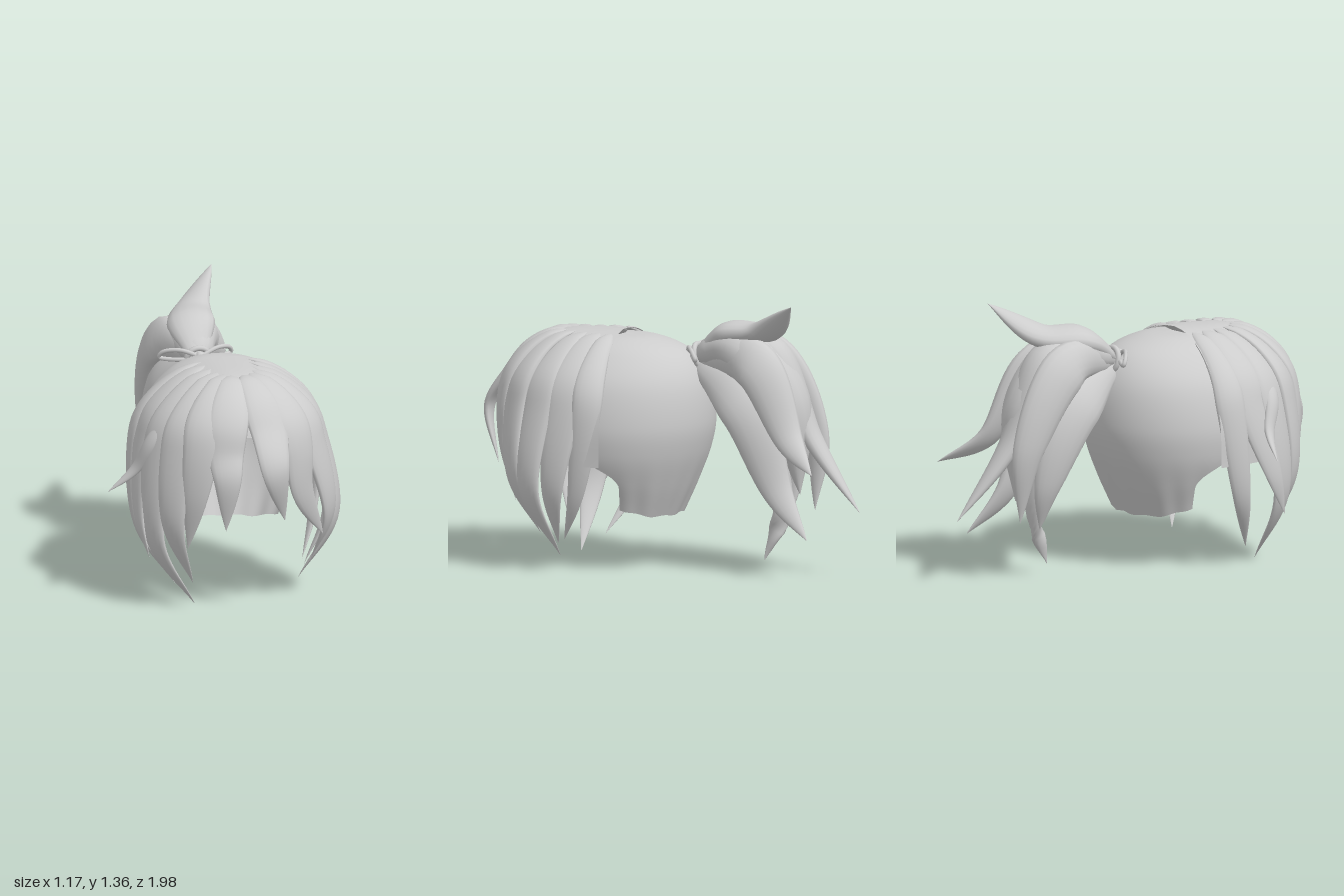
import * as THREE from 'three';

const hair = new THREE.MeshStandardMaterial({ color: 0xcccccc, side: THREE.DoubleSide });
hair.name = 'plain grey';
const { smoothstep, degToRad } = THREE.MathUtils;

// Splits a flat list of coordinates into points
function toPoints(list) {
  const points = [];
  for (let i = 0; i < list.length; i += 3) points.push(new THREE.Vector3().fromArray(list, i));
  return points;
}

// Surface from a grid of points; wrap joins the last column to the first
function gridGeometry(rows, cols, wrap, point) {
  const pos = [], idx = [];
  for (let i = 0; i <= rows; i++) {
    for (let j = 0; j < cols; j++) pos.push(...point(i / rows, j / (wrap ? cols : cols - 1)).toArray());
  }
  for (let i = 0; i < rows; i++) {
    for (let j = 0; j < (wrap ? cols : cols - 1); j++) {
      const a = i * cols + j, b = i * cols + (j + 1) % cols;
      idx.push(a, a + cols, b, b, a + cols, b + cols);
    }
  }
  const g = new THREE.BufferGeometry();
  g.setAttribute('position', new THREE.Float32BufferAttribute(pos, 3));
  g.setIndex(idx);
  g.computeVertexNormals();
  return g;
}

// Tapered lock: flattened section swept along a path, pointed at its end.
// outward(p) gives the direction its flat side faces; start is the root's share of the width
function lockGeometry(points, width, thick, start, outward) {
  const curve = new THREE.CatmullRomCurve3(points);
  const steps = 36, rings = [];
  for (let i = 0; i <= steps; i++) {
    const u = i / steps, p = curve.getPointAt(u), t = curve.getTangentAt(u);
    const n = outward(p);
    n.addScaledVector(t, -n.dot(t)).normalize();
    const s = (start + (1 - start) * smoothstep(u, 0, 0.38)) * (1 - u ** 2.6) * Math.sqrt(Math.min(1, u * 12));
    rings.push({ p, n, w: t.clone().cross(n), s });
  }
  return gridGeometry(steps, 16, true, (u, v) => {
    const r = rings[Math.round(u * steps)], a = v * Math.PI * 2;
    return r.p.clone()
      .addScaledVector(r.w, Math.cos(a) * width * r.s)
      .addScaledVector(r.n, Math.sin(a) * thick * r.s);
  });
}

// Fringe dome profile: half width, height, forward reach
const domeProfile = new THREE.CatmullRomCurve3(toPoints([
  0, 1.178, 0, 0.1, 1.168, 0.28, 0.18, 1.145, 0.38, 0.28, 1.09, 0.47,
  0.395, 0.98, 0.56, 0.445, 0.87, 0.595, 0.475, 0.74, 0.605, 0.48, 0.55, 0.585]));

function domePoint(azimuth, t) {
  const q = domeProfile.getPoint(t), s = Math.sin(azimuth), c = Math.max(0, Math.cos(azimuth));
  return new THREE.Vector3(0.06 + q.x * Math.sign(s) * Math.abs(s) ** 0.8, q.y,
    0.28 - 0.1 * q.x * s ** 4 + q.z * c ** 0.8);
}

// Back of the head, open towards the face: half width, height, backward reach
const capProfile = new THREE.CatmullRomCurve3(toPoints([
  0, 1.16, 0, 0.15, 1.145, 0.17, 0.28, 1.075, 0.335, 0.39, 0.94, 0.425,
  0.44, 0.74, 0.45, 0.43, 0.6, 0.425, 0.385, 0.44, 0.365, 0.32, 0.275, 0.29]));

function capPoint(u, v) {
  const q = capProfile.getPoint(u);
  const front = 0.3 - 0.55 * smoothstep(q.y, 0.4, 0.64);
  const a = front + v * (Math.PI - 2 * front);
  const low = smoothstep(u, 0.7, 1);
  const fold = 1 + 0.008 * low * Math.sin(a * 19);
  return new THREE.Vector3(0.07 - Math.cos(a) * q.x * fold,
    q.y + low * (0.004 * Math.sin(a * 13) + 0.06 * Math.cos(a) ** 6), 0.27 - Math.sin(a) * q.z * fold);
}

// Fringe locks: azimuth in degrees, then a middle point and the tip
const fringe = [
  [-86, -0.4, 0.38, 0.37, -0.24, 0.09, 0.5],
  [-76, -0.44, 0.47, 0.54, -0.41, 0.27, 0.62],
  [-62, -0.38, 0.36, 0.62, -0.17, 0.01, 0.6],
  [-46, -0.32, 0.46, 0.73, -0.2, 0.14, 0.67],
  [-30, -0.23, 0.62, 0.81, -0.25, 0.34, 0.75],
  [-14, -0.09, 0.72, 0.91, -0.09, 0.455, 0.88],
  [7, 0.14, 0.77, 0.965, 0.21, 0.49, 0.89],
  [26, 0.32, 0.62, 0.82, 0.46, 0.35, 0.7],
  [45, 0.49, 0.47, 0.7, 0.43, 0.19, 0.58],
  [62, 0.545, 0.42, 0.6, 0.39, 0.075, 0.49],
  [76, 0.54, 0.42, 0.48, 0.42, 0.14, 0.49],
  [86, 0.5, 0.4, 0.37, 0.42, 0.16, 0.46],
];

// Ponytail locks: facing side, half width, then path from near the tie to the tip
const ponytail = {
  ponytailCore: [0, 0.18, 0.07, 1.11, -0.32, 0.08, 0.88, -0.58, 0.08, 0.4, -0.66],
  ponytailUnder: [0, 0.13, 0.04, 0.74, -0.39, 0.06, 0.36, -0.56, 0.08, 0.06, -0.47],
  ponytailBack: [0, 0.11, 0.05, 1.13, -0.48, 0.06, 0.68, -0.72, 0.11, 0.33, -0.99],
  ponytailLeftOuter: [1, 0.13, 0.2, 1.06, -0.46, 0.29, 0.69, -0.69, 0.46, 0.56, -0.87],
  ponytailLeftInner: [1, 0.14, 0.22, 0.84, -0.42, 0.24, 0.42, -0.61, 0.32, 0.21, -0.79],
  ponytailRightOuter: [-1, 0.13, -0.06, 1.08, -0.44, -0.07, 0.7, -0.68, -0.02, 0.31, -0.7],
  ponytailRightInner: [-1, 0.14, -0.07, 0.85, -0.41, -0.06, 0.5, -0.56, 0, 0.26, -0.57],
  ponytailUpSpike: [0, 0.13, 0.06, 1.18, -0.28, 0.12, 1.21, -0.48, 0.28, 1.37, -0.69],
};

export function createModel() {
  const model = new THREE.Group();
  model.name = 'ponytailHair';
  const add = (name, geometry) => {
    const m = new THREE.Mesh(geometry, hair);
    m.name = name;
    model.add(m);
  };

  add('scalpCap', gridGeometry(48, 65, false, capPoint));

  // Smooth dome under the fringe, cut higher in front
  add('fringeDome', gridGeometry(32, 65, false, (u, v) => {
    const az = (v - 0.5) * Math.PI;
    return domePoint(az, u * (0.65 + 0.35 * smoothstep(Math.abs(az), 0.3, 1)));
  }));

  // Fringe locks follow the dome, then hang free
  const fromHead = (p) => p.clone().sub(new THREE.Vector3(0.06, 0.68, 0.38));
  fringe.forEach(([deg, ...lower], i) => {
    const top = [0.17, 0.3, 0.45, 0.6, 0.75]
      .map((t) => domePoint(degToRad(deg), t))
      .filter((p) => p.y > lower[1] + 0.1);
    const width = Math.abs(deg) > 80 ? 0.085 : 0.112;
    add('fringeLock' + (i + 1), lockGeometry([...top, ...toPoints(lower)], width, 0.037, 0.5, fromHead));
  });
  const stray = toPoints([-0.38, 0.85, 0.56, -0.45, 0.7, 0.5, -0.58, 0.58, 0.46]);
  add('strayLock', lockGeometry([domePoint(-1, 0.5), ...stray], 0.05, 0.03, 0.3, fromHead));

  // Ponytail locks spread from the tie
  for (const [name, [side, width, ...path]] of Object.entries(ponytail)) {
    const points = [new THREE.Vector3(0.045, 1.05, -0.08), ...toPoints(path)];
    const outward = () => (side ? new THREE.Vector3(side, 0.2, -0.3) : new THREE.Vector3(0, 1, -0.4));
    const thick = name === 'ponytailCore' ? 0.15 : 0.07;
    add(name, lockGeometry(points, width, thick, 0.4, outward));
  }

  // Hair tie with two thin bow loops
  const tie = new THREE.TorusGeometry(0.06, 0.014, 10, 32);
  tie.rotateX(0.25);
  tie.translate(0.045, 1.06, -0.11);
  add('hairTie', tie);
  for (const side of [-1, 1]) {
    const loop = toPoints([0, 1.075, -0.065, 0.09, 1.115, -0.09, 0.17, 1.1, -0.14, 0.185, 1.07, -0.16, 0.1, 1.06, -0.12]);
    loop.forEach((p) => { p.x = 0.045 + side * p.x; });
    add(side > 0 ? 'leftBowLoop' : 'rightBowLoop',
      new THREE.TubeGeometry(new THREE.CatmullRomCurve3(loop, true), 48, 0.011, 8, true));
  }
  const knot = new THREE.SphereGeometry(0.024, 16, 12);
  knot.translate(0.045, 1.085, -0.065);
  add('bowKnot', knot);

  return model;
}
